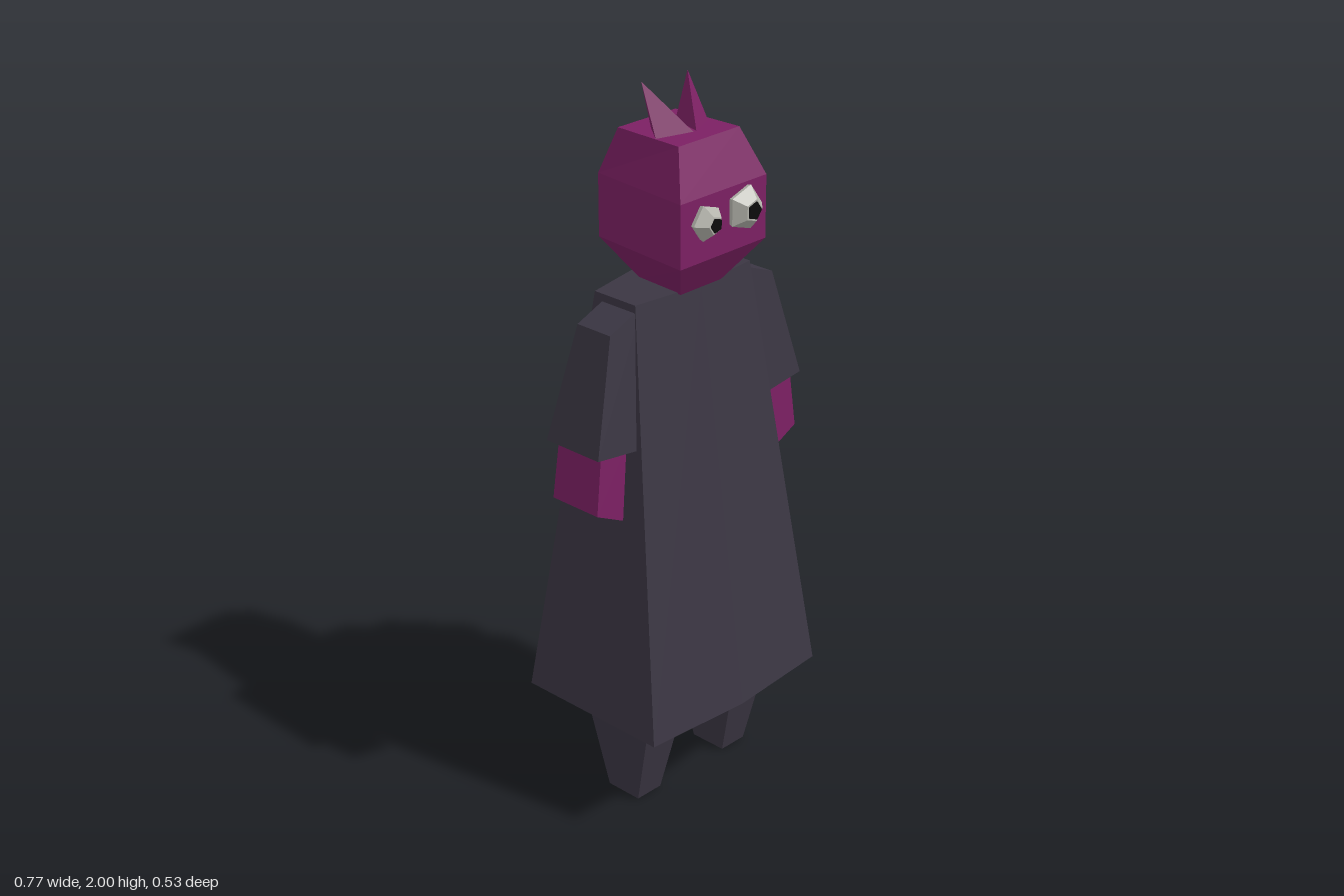
import * as THREE from 'three';

const mat = (color) => new THREE.MeshStandardMaterial({ color, flatShading: true });

// Closed solid through rings of [x, y, z] points, each counterclockwise about the loft direction
function loft(name, material, rings) {
  const pos = [];
  const n = rings[0].length;
  const tri = (a, b, c) => pos.push(...a, ...b, ...c);
  for (let k = 0; k < rings.length - 1; k++) {
    const r0 = rings[k], r1 = rings[k + 1];
    for (let i = 0; i < n; i++) {
      const j = (i + 1) % n;
      tri(r0[i], r0[j], r1[j]);
      tri(r0[i], r1[j], r1[i]);
    }
  }
  const first = rings[0], last = rings[rings.length - 1];
  for (let i = 1; i < n - 1; i++) {
    tri(first[0], first[i + 1], first[i]);
    tri(last[0], last[i], last[i + 1]);
  }
  const g = new THREE.BufferGeometry();
  g.setAttribute('position', new THREE.Float32BufferAttribute(pos, 3));
  g.computeVertexNormals();
  const mesh = new THREE.Mesh(g, material);
  mesh.name = name;
  return mesh;
}

// Four-cornered ring from inner to outer side of a limb, mirrored by side
function limbRing(side, xIn, yIn, xOut, yOut, zBack, zFront) {
  const r = [[xOut, yOut, zFront], [xOut, yOut, zBack], [xIn, yIn, zBack], [xIn, yIn, zFront]]
    .map(([x, y, z]) => [x * side, y, z]);
  return side < 0 ? r.reverse() : r;
}

// Head ring, slightly narrower at the back
const headRing = (y, wFront, wBack, zBack, zFront) =>
  [[wFront, y, zFront], [wBack, y, zBack], [-wBack, y, zBack], [-wFront, y, zFront]];

// Six-cornered robe ring, ridged along the middle of front and back
const robeRing = (y, w, zBack, zBackMid, zFront, zFrontMid) =>
  [[w, y, zFront], [w, y, zBack], [0, y, zBackMid], [-w, y, zBack], [-w, y, zFront], [0, y, zFrontMid]];

// Five-sided ring facing forward
const eyeRing = (x, y, z, r, start) => Array.from({ length: 5 }, (_, i) => {
  const a = start + i * Math.PI * 2 / 5;
  return [x + r * Math.cos(a), y + r * Math.sin(a), z];
});

export function createModel() {
  const model = new THREE.Group();
  model.name = 'robedFigure';
  const cloth = mat(0x3b3643), skin = mat(0x7c2063), white = mat(0xb4b4ac), black = mat(0x0c0c0c);

  // Robe
  model.add(loft('robe', cloth, [
    robeRing(0.29, 0.32, -0.225, -0.267, 0.243, 0.267),
    robeRing(1.465, 0.213, -0.062, -0.105, 0.08, 0.105),
  ]));

  // Head
  model.add(loft('head', skin, [
    headRing(1.46, 0.075, 0.065, -0.045, 0.105),
    headRing(1.57, 0.157, 0.127, -0.132, 0.181),
    headRing(1.74, 0.157, 0.127, -0.132, 0.181),
    headRing(1.865, 0.11, 0.104, -0.083, 0.13),
  ]));

  // Horns: three-sided spikes leaning outward
  const horn = (name, base, tip) => model.add(loft(name, skin, [base, [tip, tip, tip]]));
  horn('rightHorn', [[-0.105, 1.86, 0.05], [0.003, 1.86, 0.08], [-0.05, 1.86, -0.02]], [-0.105, 2, 0]);
  horn('leftHorn', [[0.008, 1.86, 0.08], [0.095, 1.86, 0.04], [0.035, 1.86, -0.02]], [0.07, 1.99, -0.01]);

  // Eyes: faceted domes with pentagonal pupils
  for (const [name, x, r, start] of [['rightEye', -0.073, 0.049, Math.PI], ['leftEye', 0.067, 0.061, 0]]) {
    const y = 1.676;
    model.add(loft(name, white, [
      eyeRing(x, y, 0.165, r * 0.85, start),
      eyeRing(x, y, 0.193, r, start),
      eyeRing(x, y, 0.222, r * 0.5, start),
    ]));
    model.add(loft(name + 'Pupil', black, [
      eyeRing(x, y, 0.215, r * 0.42, start),
      eyeRing(x, y, 0.226, r * 0.4, start),
    ]));
  }

  for (const side of [1, -1]) {
    const s = side > 0 ? 'left' : 'right';
    // Sleeve
    model.add(loft(s + 'Sleeve', cloth, [
      limbRing(side, 0.23, 1.085, 0.384, 1.105, -0.07, 0.115),
      limbRing(side, 0.19, 1.455, 0.302, 1.41, -0.035, 0.08),
    ]));
    // Hand
    model.add(loft(s + 'Hand', skin, [
      limbRing(side, 0.288, 0.9, 0.38, 0.945, -0.055, 0.105),
      limbRing(side, 0.268, 1.11, 0.358, 1.12, -0.05, 0.1),
    ]));
    // Leg
    model.add(loft(s + 'Leg', cloth, [
      limbRing(side, 0.127, 0, 0.215, 0, -0.03, 0.08),
      limbRing(side, 0.1, 0.3, 0.24, 0.3, -0.1, 0.15),
    ]));
  }
  return model;
}
